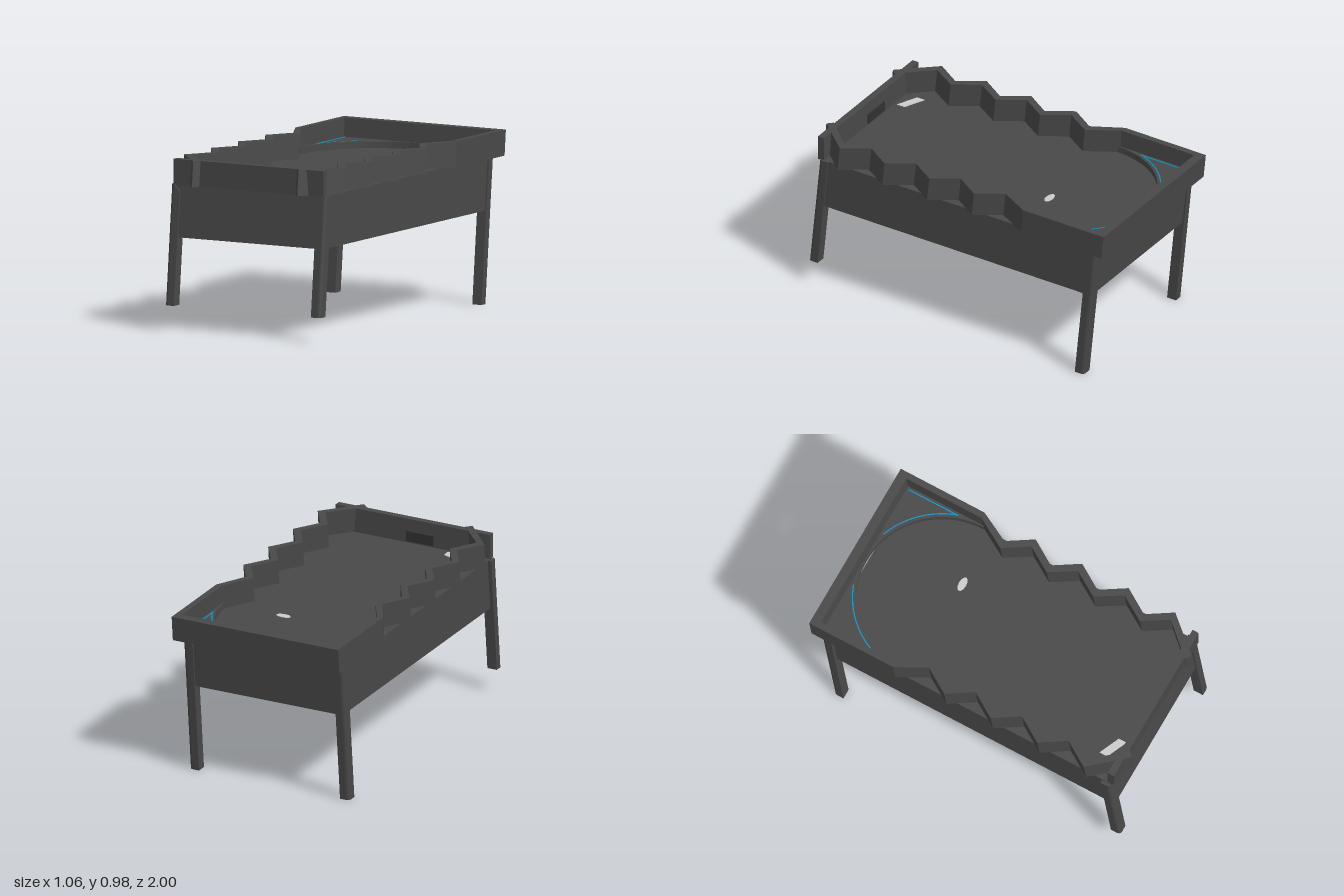
import * as THREE from 'three';

const mat = (name, color) => {
  const m = new THREE.MeshStandardMaterial({ color });
  m.name = name;
  return m;
};

// Shear a geometry so that it leans along z by "slope" per unit of height above y0
const lean = (geo, y0, slope = -0.1) =>
  geo.applyMatrix4(new THREE.Matrix4().set(1, 0, 0, 0, 0, 1, 0, 0, 0, slope, 1, -slope * y0, 0, 0, 0, 1));

// Extrude a plan drawn in x and z between two heights
const slab = (shape, y0, y1, opts = {}) => {
  const geo = new THREE.ExtrudeGeometry(shape, { depth: y1 - y0, bevelEnabled: false, curveSegments: 24, ...opts });
  return geo.rotateX(Math.PI / 2).translate(0, y1, 0);
};
const plan = pts => new THREE.Shape(pts.map(([x, z]) => new THREE.Vector2(x, z)));

export function createModel() {
  const model = new THREE.Group();
  const grey = mat('charcoal', 0x484848);
  const dark = mat('dark slot', 0x303030);
  const blue = mat('blue trim', 0x1090c0);
  const white = mat('pale marking', 0xcccccc);
  const add = (name, geo, material) => {
    const mesh = new THREE.Mesh(geo, material);
    mesh.name = name;
    model.add(mesh);
    return mesh;
  };
  const FLOOR = 0.83, TOP = 0.975;

  // Cabinet with a flat playing surface
  const cabinet = new THREE.BoxGeometry(0.986, 0.3, 1.84).translate(-0.005, 0.68, 0.085);
  add('cabinet', lean(cabinet, 0), grey);

  // Wall around the back and zigzag sides
  const outer = [[0.53, -1], [0.53, -0.46]];
  const inner = [[0.493, -0.945], [0.493, -0.46]];
  for (let i = 0; i < 4; i++) {
    const z = -0.28 + i * 0.3;
    outer.push([0.435, z], [0.53, z + 0.15]);
    inner.push([0.388, z], [0.48, z + 0.15]);
  }
  outer.push([0.345, 0.98]);
  inner.push([0.315, 0.95]);
  const mirror = pts => pts.map(([x, z]) => [-x, z]);
  const ring = [...outer, ...[...inner].reverse(), ...mirror(inner), ...mirror(outer).reverse()];
  add('zigzagWall', lean(slab(plan(ring), FLOOR - 0.002, TOP), TOP), grey);

  // Front board with its drain slot
  add('frontBoard', new THREE.BoxGeometry(0.982, 0.147, 0.04).translate(-0.004, 0.9005, 0.925), grey);
  add('drainSlot', new THREE.BoxGeometry(0.17, 0.06, 0.008).translate(-0.05, 0.87, 0.902), dark);

  // Raised back corners that leave a round arch, with thin blue trim
  const cz = -0.44, r = 0.485;
  for (const s of [1, -1]) {
    const corner = new THREE.Shape();
    corner.moveTo(0, -0.932);
    corner.lineTo(s * 0.496, -0.932);
    corner.lineTo(s * 0.496, cz);
    corner.lineTo(s * r, cz);
    corner.absarc(0, cz, r, s > 0 ? 0 : Math.PI, -Math.PI / 2, s > 0);
    add('archCorner', slab(corner, FLOOR - 0.001, 0.868), grey);

    add('trimSide', new THREE.BoxGeometry(0.007, 0.004, 0.31).translate(s * 0.475, 0.869, -0.765), blue);
    const arc = new THREE.RingGeometry(0.5, 0.507, 24, 1, s > 0 ? 0.32 : Math.PI - 1.22, 0.9);
    add('trimArc', arc.rotateX(-Math.PI / 2).translate(0, 0.871, cz), blue);
  }

  // Pale markings on the playing surface
  const marking = plan([[-0.365, 0.78], [-0.24, 0.835], [-0.24, 0.885], [-0.365, 0.83]]);
  add('slantedMarking', slab(marking, FLOOR, FLOOR + 0.003), white);
  const spot = new THREE.CylinderGeometry(1, 1, 0.003, 12).scale(0.045, 1, 0.022);
  add('ovalMarking', spot.translate(0.14, FLOOR + 0.0015, -0.385), white);

  // Leaning legs: square section, rounded on the outside corner, cut away at the inner top
  const W = 0.06, R = 0.022;
  const section = new THREE.Shape();
  section.moveTo(0, 0);
  section.lineTo(W, 0);
  section.lineTo(W, W - R);
  section.absarc(W - R, W - R, R, 0, Math.PI / 2, false);
  section.lineTo(0, W);
  for (const [x, z, y0] of [[0.437, 0.955, 0.145], [-0.46, 0.955, 0.145], [0.437, -0.785, 0], [-0.46, -0.785, 0]]) {
    const steps = Math.round((FLOOR - y0) / 0.04);
    const geo = slab(section, y0, FLOOR, { steps, curveSegments: 5 });
    const p = geo.attributes.position;
    const cut = (FLOOR - y0) / steps;
    for (let i = 0; i < p.count; i++) {
      const t = Math.max(0, (p.getY(i) - FLOOR + cut) / cut);
      p.setX(i, Math.max(p.getX(i), t * 0.042));
    }
    geo.computeVertexNormals();
    const sz = Math.sign(z);
    const leg = add(z > 0 ? 'frontLeg' : 'backLeg', lean(geo, 0, -0.1 * sz), grey);
    leg.scale.set(Math.sign(x), 1, sz);
    leg.position.set(x, 0, z);
  }
  return model;
}
